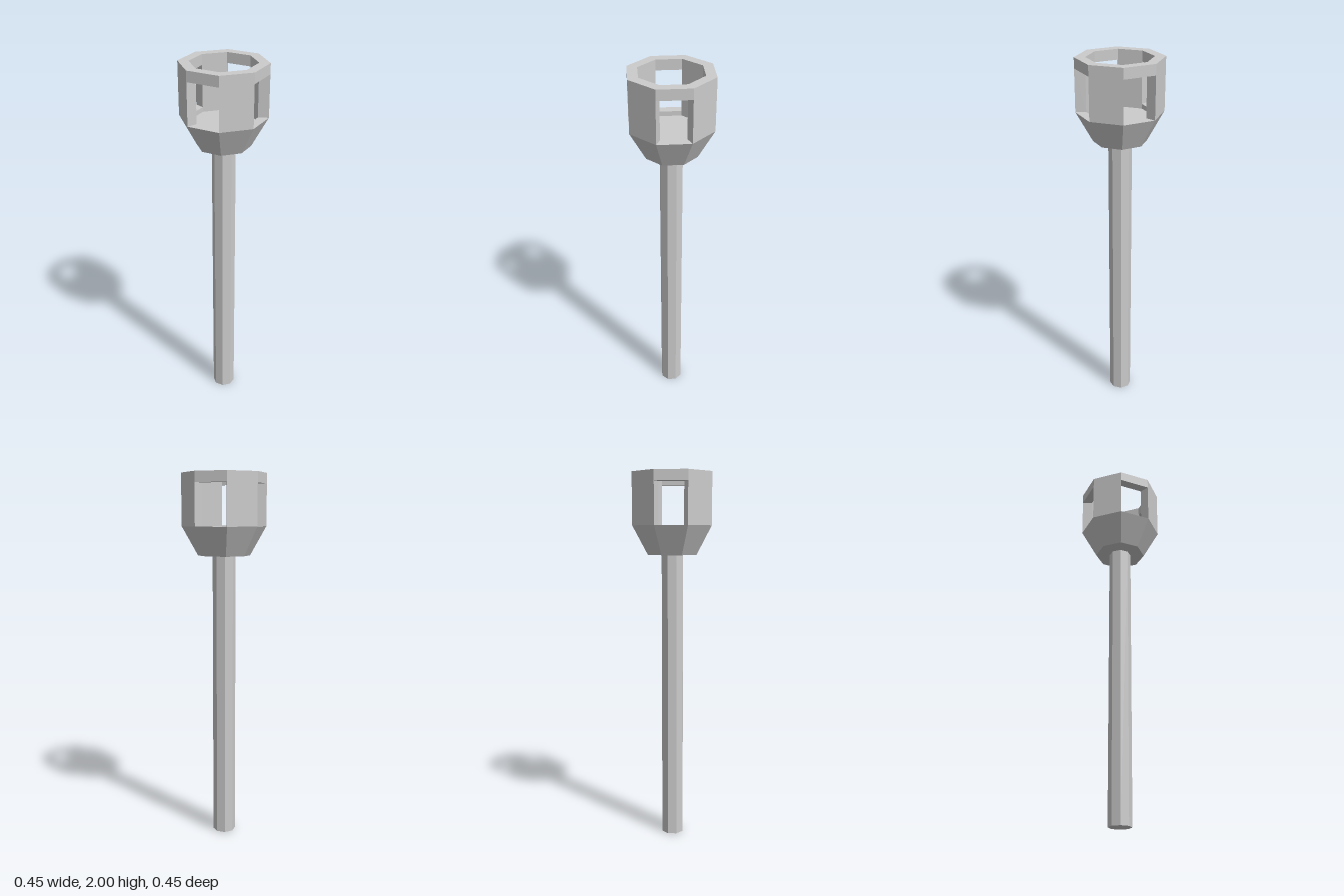
import * as THREE from 'three';

const SIDES = 8;
const OUTER = 0.226, INNER = 0.171;
const LEDGE = 1.725, LINTEL = 1.945, TOP = 2;

const material = new THREE.MeshStandardMaterial({ color: 0xcccccc, flatShading: true });

function addPart(parent, name, geometry) {
  const flat = geometry.index ? geometry.toNonIndexed() : geometry;
  flat.computeVertexNormals();
  const mesh = new THREE.Mesh(flat, material);
  mesh.name = name;
  parent.add(mesh);
  return mesh;
}

// Octagon corner k at radius r, with corners on the axes
function corner(r, k) {
  const a = (k / SIDES) * Math.PI * 2;
  return new THREE.Vector2(r * Math.cos(a), r * Math.sin(a));
}

function octagon(r) {
  return Array.from({ length: SIDES }, (_, k) => corner(r, k));
}

// Plan outline raised from y0 to y1
function raise(shape, y0, y1) {
  return new THREE.ExtrudeGeometry(shape, { depth: y1 - y0, bevelEnabled: false })
    .rotateX(-Math.PI / 2)
    .translate(0, y0, 0);
}

export function createModel() {
  const model = new THREE.Group();
  model.name = 'torch';

  // Long eight-sided handle
  const handle = new THREE.CylinderGeometry(0.062, 0.062, 1.58, SIDES).translate(0, 0.79, 0);
  addPart(model, 'handle', handle);

  const head = new THREE.Group();
  head.name = 'head';
  model.add(head);

  // Tapered cup with a shallow recessed floor
  const profile = [
    [0, 1.571], [0.14, 1.571], [OUTER, LEDGE], [INNER, LEDGE], [INNER, 1.7], [0, 1.7],
  ].map(([r, y]) => new THREE.Vector2(r, y));
  addPart(head, 'cup', new THREE.LatheGeometry(profile, SIDES));

  // Wall panels on every other side, leaving four windows
  for (let k = 1; k < SIDES; k += 2) {
    const panel = new THREE.Shape([
      corner(INNER, k), corner(OUTER, k), corner(OUTER, k + 1), corner(INNER, k + 1),
    ]);
    // Plan y becomes -z, so odd sides put a window just right of the front corner
    addPart(head, 'wallPanel', raise(panel, LEDGE, LINTEL));
  }

  // Rim closing the windows at the top
  const rim = new THREE.Shape(octagon(OUTER));
  rim.holes.push(new THREE.Path(octagon(INNER)));
  addPart(head, 'rim', raise(rim, LINTEL, TOP));

  return model;
}
